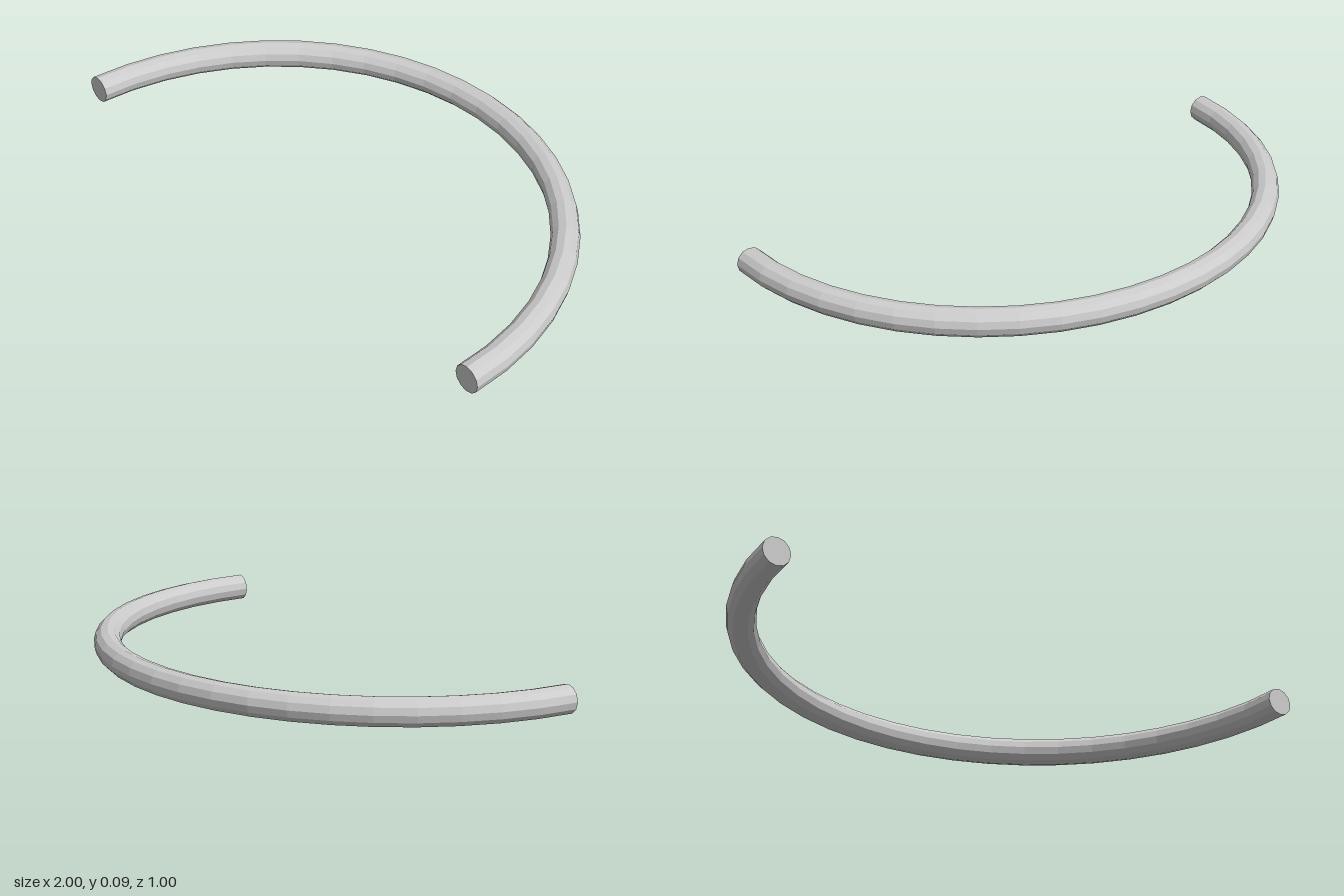
import * as THREE from 'three';

export function createModel() {
  const group = new THREE.Group();
  const material = new THREE.MeshStandardMaterial({ color: 0xcccccc, flatShading: true });
  const tube = 0.047, radius = 1 - tube, sides = 12, frontZ = 0.5;

  // Half ring lying flat, bulging to the back
  const ring = new THREE.Mesh(
    new THREE.TorusGeometry(radius, tube, sides, 24, Math.PI).rotateX(-Math.PI / 2), material);
  ring.name = 'halfRing';
  ring.position.set(0, tube, frontZ);
  group.add(ring);

  // Flat caps closing both ends
  for (const [name, side] of [['leftEndCap', 1], ['rightEndCap', -1]]) {
    const cap = new THREE.Mesh(new THREE.CircleGeometry(tube, sides), material);
    cap.name = name;
    cap.position.set(side * radius, tube, frontZ);
    group.add(cap);
  }
  return group;
}
